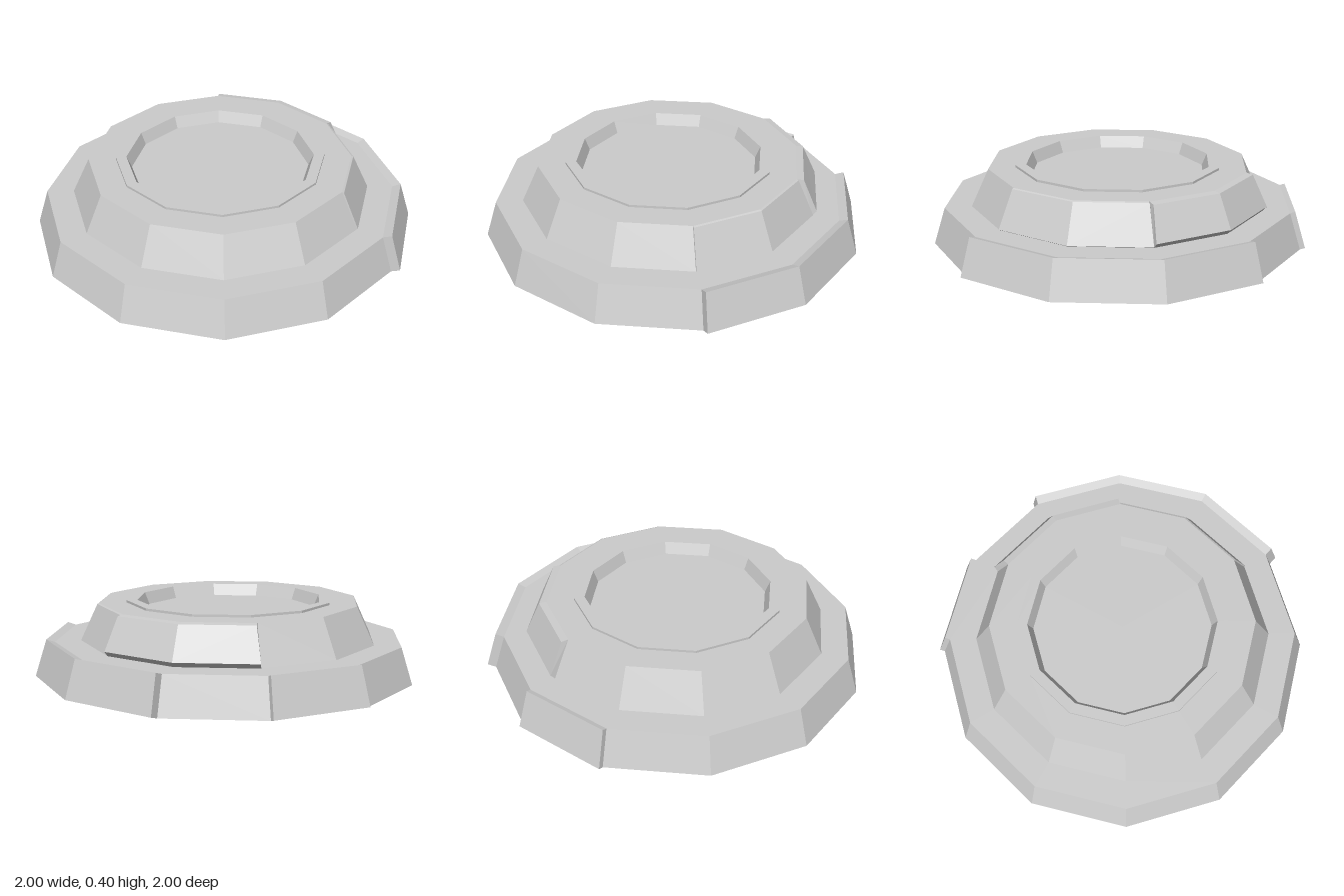
import * as THREE from 'three';

const STEP = Math.PI / 6; // twelve-sided throughout
const material = new THREE.MeshStandardMaterial({ color: 0xcccccc, flatShading: true });

// Twelve-sided solid turned from a [radius, height] profile
function turned(name, profile) {
  const points = profile.map(([r, y]) => new THREE.Vector2(r, y));
  const mesh = new THREE.Mesh(new THREE.LatheGeometry(points, 12), material);
  mesh.name = name;
  return mesh;
}

// Raised plate covering sides first..last of a tier.
// foot and head are [radius, height, outward push, lift] of its lower and upper edges.
function plate(name, first, last, foot, head) {
  const sections = [];
  for (let i = first; i <= last; i++) {
    const a = i * STEP;
    // end edges are pushed along the normal of their own side
    const dir = a + (i === first ? STEP / 2 : i === last ? -STEP / 2 : 0);
    const corner = ([r, y, push, lift], out) => [
      r * Math.cos(a) + out * push * Math.cos(dir),
      y + out * lift,
      -r * Math.sin(a) - out * push * Math.sin(dir),
    ];
    sections.push([corner(foot, 0), corner(foot, 1), corner(head, 1), corner(head, 0)]);
  }
  const positions = [];
  const quad = (a, b, c, d) => positions.push(...a, ...b, ...c, ...a, ...c, ...d);
  for (let i = 0; i < sections.length - 1; i++) {
    const p = sections[i], q = sections[i + 1];
    for (let j = 0; j < 3; j++) quad(p[j], q[j], q[j + 1], p[j + 1]);
  }
  const start = sections[0], end = sections[sections.length - 1];
  quad(start[0], start[1], start[2], start[3]);
  quad(end[3], end[2], end[1], end[0]);

  const geometry = new THREE.BufferGeometry();
  geometry.setAttribute('position', new THREE.Float32BufferAttribute(positions, 3));
  geometry.computeVertexNormals();
  const mesh = new THREE.Mesh(geometry, material);
  mesh.name = name;
  return mesh;
}

export function createModel() {
  const model = new THREE.Group();
  model.name = 'steppedPedestal';

  // Two sloped tiers, a low rim and a shallow well as one body
  model.add(turned('tieredBody', [
    [0, 0], [0.977, 0], [0.917, 0.19],
    [0.777, 0.19], [0.685, 0.385],
    [0.543, 0.385], [0.543, 0.397],
    [0.488, 0.397], [0.462, 0.335], [0, 0.335],
  ]));

  // Plates on the lower tier
  model.add(plate('lowerWidePlate', 0, 3, [0.977, 0, 0.044, 0.014], [0.917, 0.19, 0.044, 0.014]));
  model.add(plate('lowerNarrowPlate', 4, 5, [0.977, 0, 0.026, 0.008], [0.917, 0.19, 0.026, 0.008]));

  // Plates on the upper tier
  model.add(plate('upperBackPlate', 2, 4, [0.777, 0.19, 0.022, 0.025], [0.685, 0.385, 0.036, -0.005]));
  model.add(plate('upperSidePlate', 0, 2, [0.777, 0.19, 0.006, 0.004], [0.685, 0.385, 0.01, -0.004]));

  // Offset so the outline with its plates is centred
  for (const part of model.children) part.position.set(-0.021, 0, 0.021);
  return model;
}
